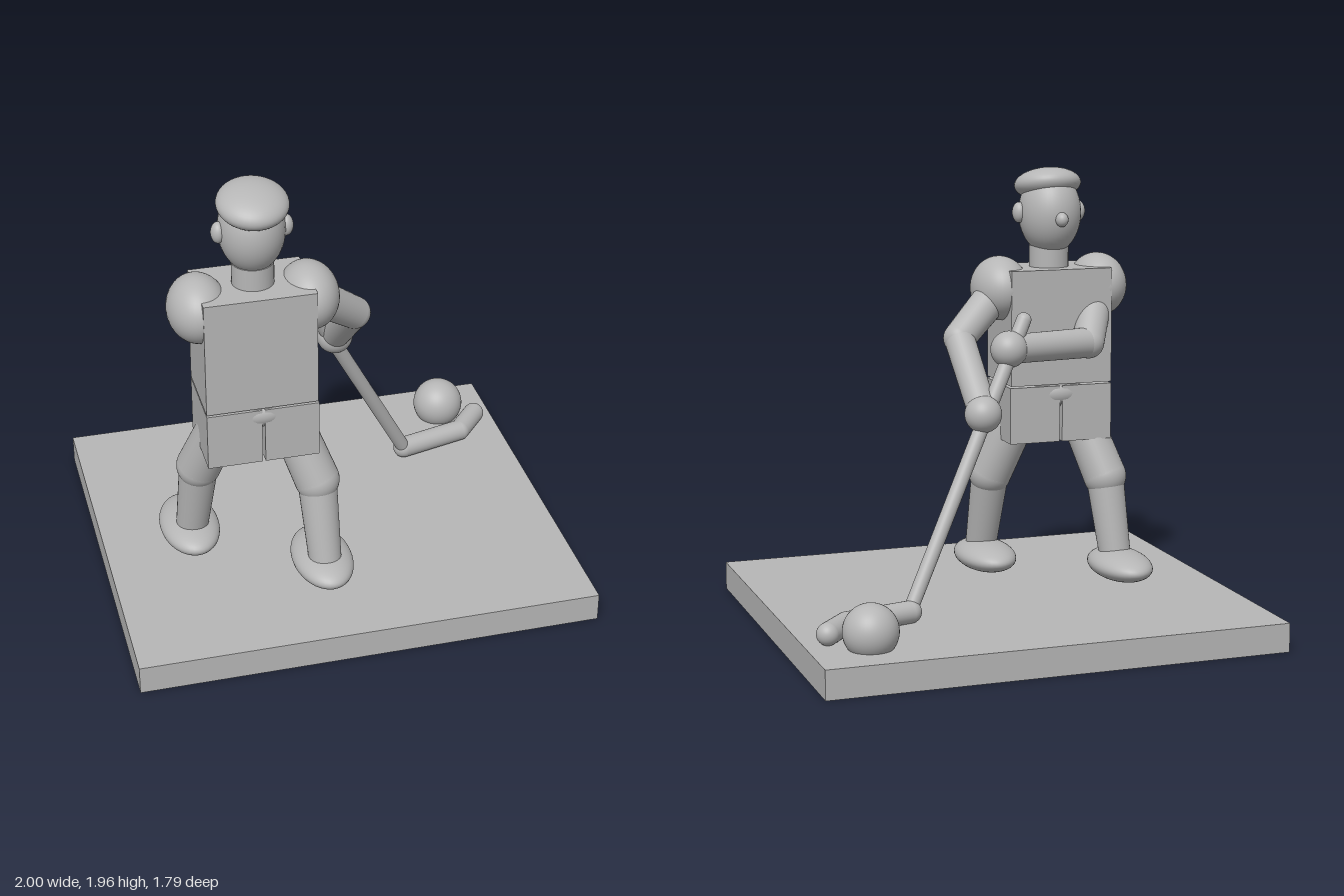
import * as THREE from 'three';

const grey = new THREE.MeshStandardMaterial({ color: 0xb6b6b6 });
grey.name = 'plain grey';

const V = (p) => new THREE.Vector3(...p);

function add(parent, name, geometry, position = [0, 0, 0]) {
  const mesh = new THREE.Mesh(geometry, grey);
  mesh.name = name;
  mesh.position.set(...position);
  parent.add(mesh);
  return mesh;
}

// Ellipsoid from its three radii
function blob(parent, name, position, radii) {
  const geometry = new THREE.SphereGeometry(1, 40, 28).scale(...radii);
  return add(parent, name, geometry, position);
}

// Box from its low and high corners
function block(parent, name, lo, hi) {
  const size = hi.map((h, i) => h - lo[i]);
  return add(parent, name, new THREE.BoxGeometry(...size), hi.map((h, i) => (h + lo[i]) / 2));
}

// Round-ended, optionally tapered rod between two points
function limb(parent, name, a, b, ra, rb = ra) {
  const group = new THREE.Group();
  group.name = name;
  const from = V(a), to = V(b), axis = to.clone().sub(from);
  const rod = add(group, name + 'Rod', new THREE.CylinderGeometry(rb, ra, axis.length(), 32, 1, true));
  rod.position.copy(from).add(to).multiplyScalar(0.5);
  rod.quaternion.setFromUnitVectors(new THREE.Vector3(0, 1, 0), axis.normalize());
  blob(group, name + 'Start', a, [ra, ra, ra]);
  blob(group, name + 'End', b, [rb, rb, rb]);
  parent.add(group);
}

export function createModel() {
  const model = new THREE.Group();
  model.name = 'hockeyPlayer';

  block(model, 'base', [-1, 0, -0.895], [1, 0.125, 0.895]);

  // Head
  const head = new THREE.Group();
  head.name = 'headGroup';
  model.add(head);
  blob(head, 'head', [-0.36, 1.76, 0.267], [0.138, 0.185, 0.152]);
  blob(head, 'cap', [-0.36, 1.885, 0.296], [0.148, 0.072, 0.155]).rotation.x = 0.2;
  blob(head, 'nose', [-0.36, 1.74, 0.115], [0.028, 0.032, 0.032]);
  for (const s of [-1, 1]) blob(head, 'ear', [-0.36 + s * 0.14, 1.763, 0.28], [0.03, 0.046, 0.036]);
  add(head, 'neck', new THREE.CylinderGeometry(0.088, 0.088, 0.17, 32), [-0.36, 1.53, 0.277]);

  // Torso and shorts
  block(model, 'torso', [-0.6, 1.01, 0.117], [-0.128, 1.52, 0.443]);
  block(model, 'shortsRight', [-0.6, 0.752, 0.115], [-0.367, 1.003, 0.446]);
  block(model, 'shortsLeft', [-0.355, 0.752, 0.115], [-0.123, 1.003, 0.446]);
  blob(model, 'pelvis', [-0.36, 0.965, 0.28], [0.2, 0.1, 0.172]);

  // Legs: hip, knee, ankle, foot centre
  const legs = [
    ['left', [-0.235, 0.9, 0.27], [-0.117, 0.575, 0.375], [-0.104, 0.2, 0.475], [-0.104, 0.187, 0.41]],
    ['right', [-0.485, 0.9, 0.27], [-0.585, 0.575, 0.145], [-0.613, 0.2, 0.075], [-0.615, 0.19, 0.03]],
  ];
  for (const [side, hip, knee, ankle, foot] of legs) {
    limb(model, side + 'Thigh', hip, knee, 0.09, 0.097);
    limb(model, side + 'Shin', knee, ankle, 0.085, 0.07);
    blob(model, side + 'Foot', foot, [0.13, 0.067, 0.225]);
  }

  // Arms: shoulder, elbow, hand
  const arms = [
    ['left', [-0.128, 1.43, 0.279], [0.105, 1.235, 0.145], [0.1, 0.95, -0.162]],
    ['right', [-0.594, 1.43, 0.279], [-0.465, 1.2, 0.055], [-0.045, 1.21, -0.08]],
  ];
  for (const [side, shoulder, elbow, hand] of arms) {
    blob(model, side + 'Shoulder', shoulder, [0.127, 0.143, 0.163]);
    limb(model, side + 'UpperArm', shoulder, elbow, 0.08, 0.07);
    limb(model, side + 'Forearm', elbow, hand, 0.067, 0.063);
    blob(model, side + 'Hand', hand, [0.08, 0.08, 0.08]);
  }

  // Stick with its bent blade, and the ball
  const bend = [0.79, 0.17, -0.437];
  limb(model, 'stickShaft', [-0.122, 1.33, -0.052], [0.485, 0.18, -0.35], 0.033, 0.031);
  limb(model, 'bladeHeel', [0.49, 0.17, -0.36], bend, 0.048);
  limb(model, 'bladeToe', bend, [0.9, 0.17, -0.565], 0.048);
  blob(model, 'ball', [0.75, 0.194, -0.667], [0.116, 0.116, 0.116]);

  return model;
}
